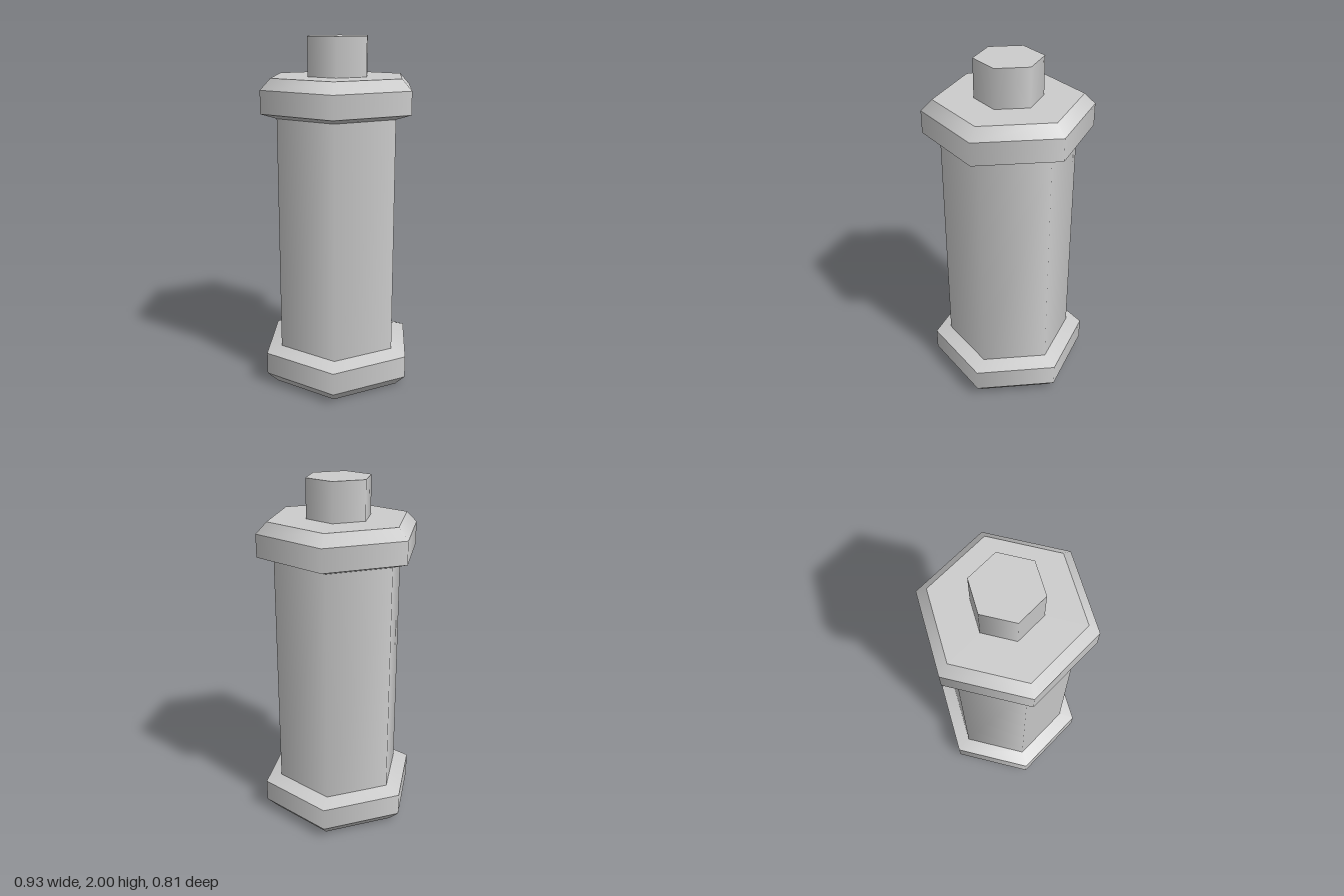
import * as THREE from 'three';

const SIDES = 6;

export function createModel() {
  const model = new THREE.Group();
  model.name = 'hexagonalCanister';

  const metal = new THREE.MeshStandardMaterial({ color: 0xcccccc });
  metal.name = 'light grey';

  // One six-sided band, smooth around and sharp at its rims, with a corner on +x
  function band(name, y0, r0, y1, r1, parent = model) {
    const geometry = new THREE.CylinderGeometry(r1, r0, y1 - y0, SIDES, 1, true, Math.PI / 2);
    const mesh = new THREE.Mesh(geometry, metal);
    mesh.name = name;
    mesh.position.y = (y0 + y1) / 2;
    parent.add(mesh);
  }

  // Flat hexagonal face, looking up (1) or down (-1)
  function lid(name, y, r, facing, parent = model) {
    const mesh = new THREE.Mesh(new THREE.CircleGeometry(r, SIDES), metal);
    mesh.name = name;
    mesh.rotation.x = -facing * Math.PI / 2;
    mesh.position.y = y;
    parent.add(mesh);
  }

  // Stacked bands following [y, radius] points from bottom to top
  function collar(name, profile) {
    const group = new THREE.Group();
    group.name = name;
    for (let i = 0; i < profile.length - 1; i++) {
      band(`${name}Band${i + 1}`, ...profile[i], ...profile[i + 1], group);
    }
    model.add(group);
    return group;
  }

  // Base collar with its underside
  const base = collar('baseCollar', [[0, 0.405], [0.062, 0.467], [0.19, 0.467], [0.22, 0.373]]);
  lid('baseUnderside', 0, 0.405, -1, base);

  // Long body
  band('body', 0.22, 0.373, 1.565, 0.373);

  // Top collar with its upper face
  const top = collar('topCollar', [[1.565, 0.373], [1.595, 0.467], [1.722, 0.467], [1.783, 0.405]]);
  lid('topFace', 1.783, 0.405, 1, top);

  // Small post
  band('post', 1.783, 0.187, 2, 0.187);
  lid('postTop', 2, 0.187, 1);

  return model;
}
